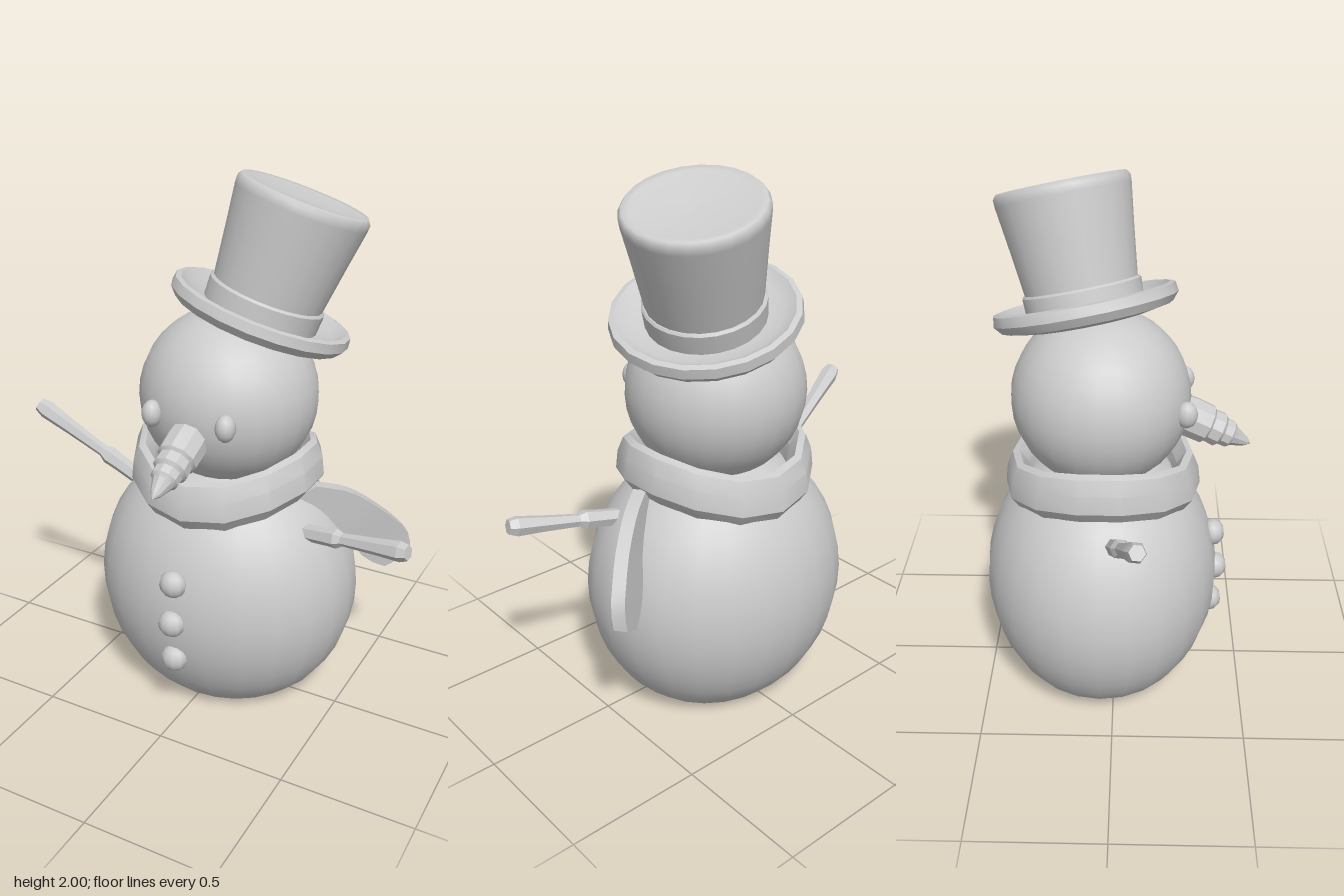
import * as THREE from 'three';
import { toCreasedNormals } from 'three/addons/utils/BufferGeometryUtils.js';

const material = new THREE.MeshStandardMaterial({ color: 0xcccccc });
const UP = new THREE.Vector3(0, 1, 0);
const vec = (a) => new THREE.Vector3(...a);

function add(parent, name, geometry, position = [0, 0, 0], scale = [1, 1, 1]) {
  const mesh = new THREE.Mesh(geometry, material);
  mesh.name = name;
  mesh.position.set(...position);
  mesh.scale.set(...scale);
  parent.add(mesh);
  return mesh;
}

// Turned shape from [radius, height] pairs, bottom to top along the outside
function turned(profile, sides, crease) {
  const g = new THREE.LatheGeometry(profile.map(([r, y]) => new THREE.Vector2(r, y)), sides);
  return crease ? toCreasedNormals(g, crease) : g;
}

// Turned shape whose axis runs from one point to another (heights are 0..1)
function between(parent, name, from, to, profile, sides, crease) {
  const a = vec(from), d = vec(to).sub(a), len = d.length();
  const g = turned(profile.map(([r, t]) => [r, t * len]), sides, crease);
  const mesh = add(parent, name, g, from);
  mesh.quaternion.setFromUnitVectors(UP, d.normalize());
  return mesh;
}

// Squashed ball with a flattened base
function bodyGeometry() {
  const profile = [[0, 0.012], [0.2, 0.006], [0.27, 0], [0.31, 0.012]];
  for (let i = 1; i <= 16; i++) {
    const a = THREE.MathUtils.lerp(-0.89, Math.PI / 2, i / 16);
    profile.push([0.517 * Math.cos(a), 0.44 + 0.54 * Math.sin(a)]);
  }
  return turned(profile, 24);
}

// Thick band, raised at the sides and lowered at front and back
function scarfGeometry() {
  const g = new THREE.LatheGeometry(
    [[0.27, -0.06], [0.335, -0.09], [0.37, -0.04], [0.362, 0.03], [0.34, 0.085], [0.315, 0.095], [0.28, 0.04], [0.27, -0.06]]
      .map(([r, y]) => new THREE.Vector2(r, y)), 14);
  const p = g.attributes.position;
  for (let i = 0; i < p.count; i++) {
    const angle = Math.atan2(p.getX(i), p.getZ(i));
    p.setY(i, p.getY(i) - 0.04 * Math.cos(2 * angle));
  }
  return toCreasedNormals(g, 0.5);
}

// Flat strip swept along a drooping curve, rounded at the free end
function scarfTailGeometry() {
  const curve = new THREE.CatmullRomCurve3([
    [0.31, 0.87, -0.02], [0.40, 0.83, -0.09], [0.49, 0.74, -0.165], [0.56, 0.64, -0.235], [0.61, 0.54, -0.285],
  ].map(vec));
  const across = new THREE.Vector3(0.075, 0.05, -0.05);
  const normal = new THREE.Vector3(0.6, 0, 0.8);
  const g = new THREE.BoxGeometry(2, 2, 2, 2, 10, 1);
  const p = g.attributes.position;
  for (let i = 0; i < p.count; i++) {
    const t = (p.getY(i) + 1) / 2;
    const width = (0.65 + 0.3 * Math.sin(t * Math.PI * 0.6)) * (t > 0.85 ? 1 - 3 * (t - 0.85) : 1);
    const q = curve.getPoint(t)
      .addScaledVector(across, p.getX(i) * width)
      .addScaledVector(normal, -p.getZ(i) * 0.024);
    p.setXYZ(i, q.x, q.y, q.z);
  }
  return toCreasedNormals(g, 0.6);
}

export function createModel() {
  const model = new THREE.Group();
  model.name = 'snowman';

  add(model, 'body', bodyGeometry(), [0, 0, -0.05], [1, 1, 0.875]);
  add(model, 'head', new THREE.SphereGeometry(0.335, 24, 18), [0, 1.2, -0.05], [1, 0.98, 0.985]);
  add(model, 'scarf', scarfGeometry(), [0, 0.915, -0.045]);
  add(model, 'scarfTail', scarfTailGeometry());

  // Face
  for (const side of [1, -1]) {
    add(model, side > 0 ? 'leftEye' : 'rightEye', new THREE.SphereGeometry(1, 12, 8),
      [side * 0.147, 1.2, 0.258], [0.037, 0.05, 0.04]);
  }
  between(model, 'nose', [0, 1.145, 0.22], [0, 1.005, 0.508], [
    [0, 0], [0.07, 0], [0.077, 0.2], [0.075, 0.42], [0.064, 0.45], [0.066, 0.58],
    [0.053, 0.62], [0.052, 0.72], [0.04, 0.76], [0.02, 0.92], [0, 1],
  ], 10, 0.5);

  // Buttons follow the curve of the belly
  [[0.605, 0.385], [0.445, 0.4], [0.285, 0.385]].forEach(([y, z], i) =>
    add(model, 'button' + (i + 1), new THREE.SphereGeometry(1, 10, 8), [0, y, z], [0.052, 0.052, 0.045]));

  // Stick arms, thicker at the ends
  const stick = [[0, 0], [0.032, 0], [0.034, 0.26], [0.037, 0.34], [0.024, 0.4], [0.03, 0.7],
    [0.037, 0.93], [0.028, 1], [0, 1]];
  between(model, 'rightArm', [-0.35, 0.77, 0], [-0.78, 1.052, 0.088], stick, 6, 0.3);
  between(model, 'leftArm', [0.36, 0.755, 0.055], [0.788, 0.825, 0.14], stick, 6, 0.3);

  // Top hat, tipped back and to one side
  const hat = new THREE.Group();
  hat.name = 'hat';
  hat.position.set(0.085, 1.47, -0.1);
  hat.quaternion.setFromUnitVectors(UP, new THREE.Vector3(0.3, 1, -0.21).normalize());
  add(hat, 'brim', turned([
    [0, -0.01], [0.24, -0.01], [0.315, 0.005], [0.34, 0.035], [0.335, 0.07], [0.315, 0.075],
    [0.27, 0.045], [0.2, 0.035],
  ], 20, 0.6));
  add(hat, 'hatBand', turned([[0.214, 0.02], [0.218, 0.11], [0.21, 0.118], [0.19, 0.118]], 24, 0.6));
  add(hat, 'crown', turned([
    [0.197, 0.05], [0.208, 0.13], [0.228, 0.3], [0.246, 0.44], [0.247, 0.465], [0.235, 0.482],
    [0.21, 0.48], [0.14, 0.467], [0, 0.46],
  ], 24));
  model.add(hat);

  return model;
}
